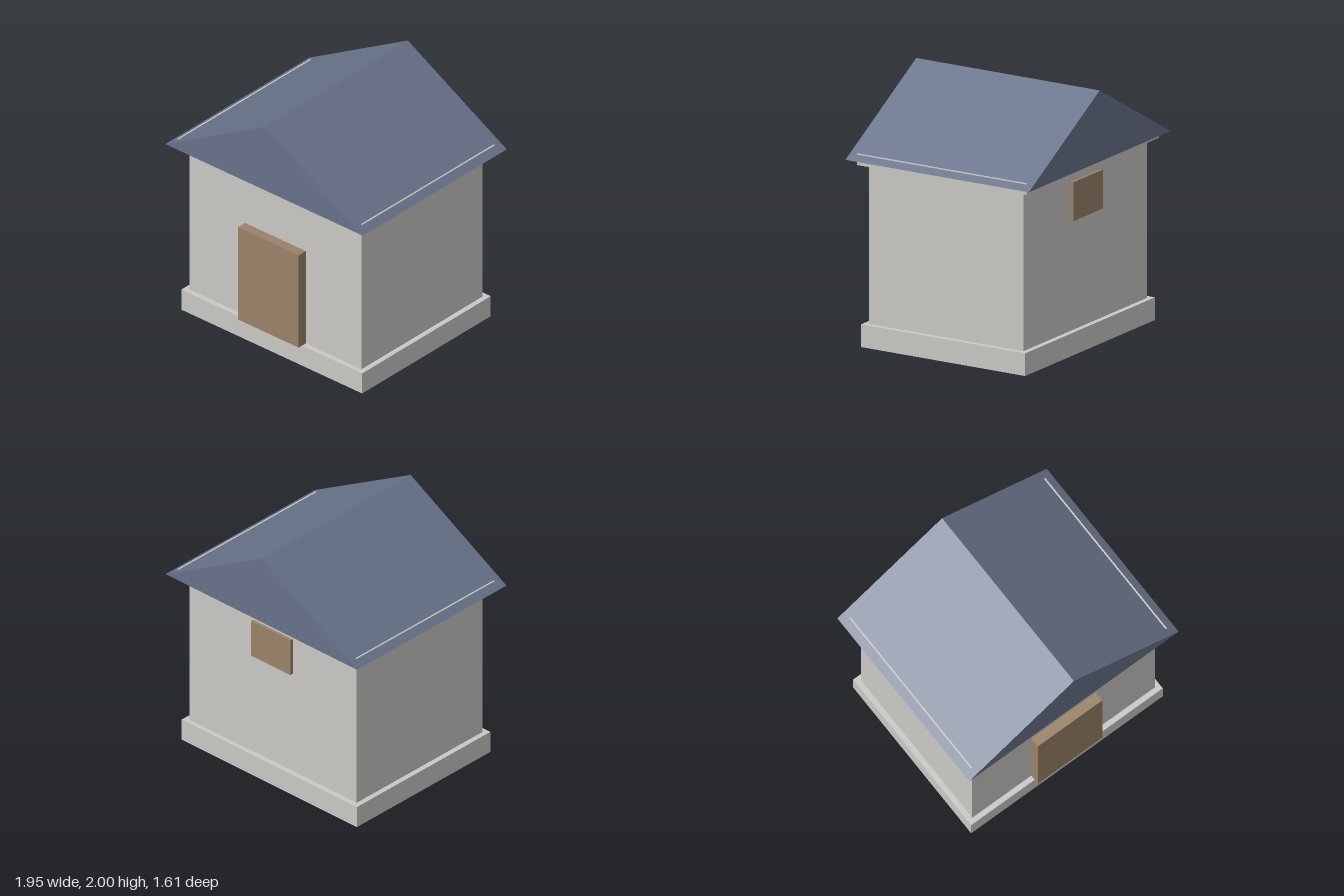
import * as THREE from 'three';

const material = (name, color) => {
  const m = new THREE.MeshStandardMaterial({ color });
  m.name = name;
  return m;
};

export function createModel() {
  const model = new THREE.Group();
  model.name = 'house';
  const stone = material('pale stone', 0xcbc9c5);
  const slate = material('blue slate', 0x677289);
  const wood = material('brown wood', 0x9a8269);

  // Box given by its width, its y range and its z range, centred on x
  const addBox = (name, mat, width, y0, y1, z0, z1) => {
    const mesh = new THREE.Mesh(new THREE.BoxGeometry(width, y1 - y0, z1 - z0), mat);
    mesh.name = name;
    mesh.position.set(0, (y0 + y1) / 2, (z0 + z1) / 2);
    model.add(mesh);
  };

  // Masonry: plinth, walls and the cornice that just breaks through the roof
  addBox('plinth', stone, 1.784, 0, 0.175, -0.722, 0.722);
  addBox('walls', stone, 1.7, 0.175, 1.405, -0.68, 0.68);
  addBox('cornice', stone, 1.826, 1.405, 1.492, -0.746, 0.746);

  // Joinery: front door and rear window shutter
  addBox('door', wood, 0.6, 0.175, 0.98, 0.68, 0.76);
  addBox('rearWindow', wood, 0.4, 1.025, 1.325, -0.706, -0.68);

  // Gabled roof: a solid triangular prism
  const gable = new THREE.Shape([
    new THREE.Vector2(-0.975, 1.45),
    new THREE.Vector2(0.975, 1.45),
    new THREE.Vector2(0, 2),
  ]);
  const roofGeometry = new THREE.ExtrudeGeometry(gable, { depth: 1.614, bevelEnabled: false });
  roofGeometry.translate(0, 0, -0.807);
  const roof = new THREE.Mesh(roofGeometry, slate);
  roof.name = 'roof';
  model.add(roof);

  return model;
}
